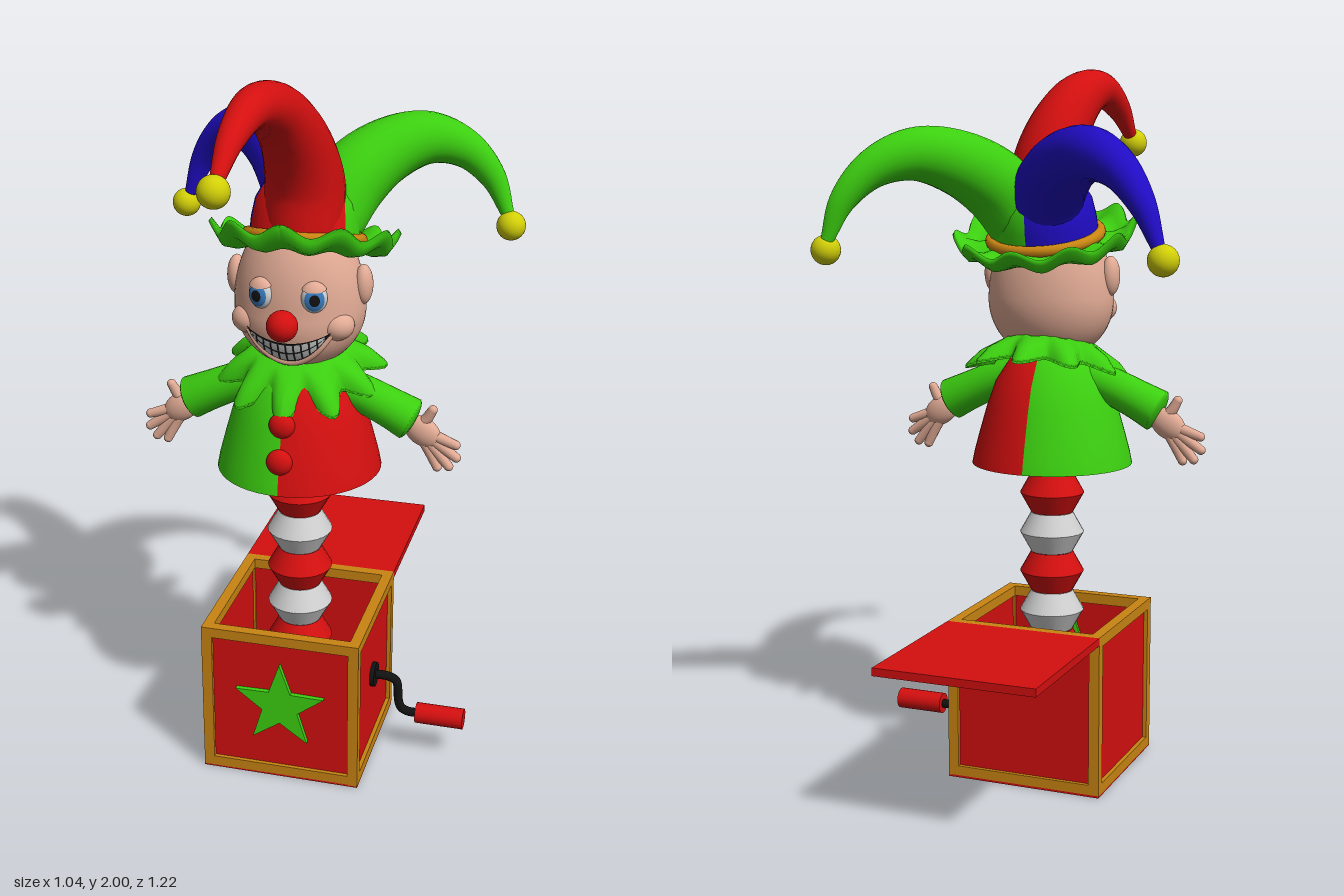
import * as THREE from 'three';

const mat = (name, color) => Object.assign(new THREE.MeshStandardMaterial({ color }), { name });
const red = mat('red', 0xd40f0f), green = mat('green', 0x3ccf10), blue = mat('blue', 0x200cc4);
const yellow = mat('bell yellow', 0xd2cf08), orange = mat('frame orange', 0xc98512);
const skin = mat('skin', 0xe2ab95), white = mat('white', 0xcfcfcf), black = mat('black', 0x121212);
const eyeBlue = mat('eye blue', 0x3a7cc0);
for (const m of [red, green, white, black]) m.side = THREE.DoubleSide;

const CX = -0.03, CZ = 0.083; // axis of box, spring and body
const V = (x, y, z) => new THREE.Vector3(x, y, z);

function add(parent, name, geo, material, x = 0, y = 0, z = 0) {
  const m = new THREE.Mesh(geo, material);
  m.name = name;
  m.position.set(x, y, z);
  parent.add(m);
  return m;
}
const box = (p, name, m, w, h, d, x, y, z) => add(p, name, new THREE.BoxGeometry(w, h, d), m, x, y, z);
function ball(p, name, m, x, y, z, rx, ry = rx, rz = rx) {
  const b = add(p, name, new THREE.SphereGeometry(1, 28, 20), m, x, y, z);
  b.scale.set(rx, ry, rz);
  return b;
}
const lathe = (pts, seg, start = 0, len = Math.PI * 2) =>
  new THREE.LatheGeometry(pts.map(([r, y]) => new THREE.Vector2(r, y)), seg, start, len);

// Moves every vertex of a geometry by a rule
function warp(geo, rule) {
  const p = geo.attributes.position, v = V(0, 0, 0);
  for (let i = 0; i < p.count; i++) {
    rule(v.fromBufferAttribute(p, i));
    p.setXYZ(i, v.x, v.y, v.z);
  }
  geo.computeVertexNormals();
  return geo;
}

// Tube through [x, y, z, radius] stations
function taperTube(stations, seg = 40, sides = 24) {
  const curve = new THREE.CatmullRomCurve3(stations.map(s => V(s[0], s[1], s[2])));
  const radii = new THREE.CatmullRomCurve3(stations.map((s, i) => V(s[3], i, 0)));
  const geo = new THREE.TubeGeometry(curve, seg, 1, sides);
  const p = geo.attributes.position, v = V(0, 0, 0);
  for (let i = 0; i < p.count; i++) {
    const u = Math.floor(i / (sides + 1)) / seg, c = curve.getPointAt(u);
    v.fromBufferAttribute(p, i).sub(c).multiplyScalar(radii.getPoint(curve.getUtoTmapping(u)).x).add(c);
    p.setXYZ(i, v.x, v.y, v.z);
  }
  return geo;
}

function buildBox(root) {
  const g = new THREE.Group(); g.name = 'box'; root.add(g);
  g.position.set(CX, 0, CZ);
  const S = 0.455, F = 0.03, e = (S - F) / 2;
  box(g, 'floor', red, S, 0.006, S, 0, 0.003, 0);
  for (const s of [-1, 1]) {
    box(g, 'sidePanel', red, 0.012, 0.44, 0.43, s * 0.21, 0.226, 0);
    box(g, 'facePanel', red, 0.43, 0.44, 0.012, 0, 0.226, s * 0.21);
    for (const t of [-1, 1]) {
      box(g, 'framePost', orange, F, 0.456, F, s * e, 0.232, t * e);
      box(g, 'frameRailX', orange, S - 2 * F, F, F, 0, t > 0 ? 0.445 : 0.019, s * e);
      box(g, 'frameRailZ', orange, F, F, S - 2 * F, s * e, t > 0 ? 0.445 : 0.019, 0);
    }
  }
  box(g, 'lid', red, S, 0.022, 0.465, 0, 0.449, -0.46);
  // star on the front panel
  const star = new THREE.Shape();
  for (let i = 0; i < 10; i++) {
    const r = i % 2 ? 0.054 : 0.135, a = Math.PI / 2 + i * Math.PI / 5;
    star[i ? 'lineTo' : 'moveTo'](r * Math.cos(a), r * Math.sin(a));
  }
  add(g, 'star', new THREE.ExtrudeGeometry(star, { depth: 0.035, bevelEnabled: false }), green, 0, 0.235, 0.195);
  // crank
  add(g, 'crankPlate', new THREE.CylinderGeometry(0.036, 0.036, 0.015, 24), black, 0.221, 0.24, 0).rotation.z = Math.PI / 2;
  add(g, 'crankRod', taperTube([[0.21, 0.24], [0.265, 0.24], [0.288, 0.228], [0.294, 0.2], [0.296, 0.165],
    [0.305, 0.14], [0.325, 0.13], [0.37, 0.13]].map(([x, y]) => [x, y, 0, 0.013]), 40, 12), black);
  add(g, 'crankHandle', new THREE.CylinderGeometry(0.03, 0.03, 0.14, 24), red, 0.42, 0.13, 0).rotation.z = Math.PI / 2;
}

function buildSpring(root) {
  add(root, 'springBase', new THREE.CylinderGeometry(0.06, 0.06, 0.06, 24), white, CX, 0.033, CZ);
  for (let k = 0; k < 8; k++) {
    const y = 0.06 + k * 0.115, m = k % 2 ? white : red;
    add(root, 'springLower', new THREE.CylinderGeometry(0.092, 0.06, 0.0575, 24, 1, true), m, CX, y + 0.029, CZ);
    add(root, 'springUpper', new THREE.CylinderGeometry(0.06, 0.092, 0.0575, 24, 1, true), m, CX, y + 0.086, CZ);
  }
}

function buildBody(root) {
  const profile = [[0.228, 0.895], [0.221, 0.93], [0.205, 0.99], [0.185, 1.06], [0.16, 1.13], [0.115, 1.2], [0.06, 1.235]];
  add(root, 'coatLeft', lathe(profile, 24, 0, Math.PI), red, CX, 0, CZ);
  add(root, 'coatRight', lathe(profile, 24, Math.PI, Math.PI), green, CX, 0, CZ);
  ball(root, 'button', red, CX, 0.985, 0.288, 0.036, 0.036, 0.025);
  ball(root, 'button', red, CX, 1.08, 0.26, 0.036, 0.036, 0.025);
  // pointed ruff
  const ruff = lathe([[0.08, 0], [0.13, -0.005], [0.175, -0.035], [0.2, -0.07], [0.2, -0.058],
    [0.175, -0.02], [0.13, 0.012], [0.08, 0.02]], 100);
  add(root, 'ruff', warp(ruff, v => {
    const a = Math.atan2(v.x, v.z), k = Math.max(0, (Math.hypot(v.x, v.z) - 0.09) / 0.11);
    const c = Math.cos(10 * a), s = 1 + 0.17 * k * c;
    v.x *= s; v.z *= s; v.y -= 0.012 * k * c;
  }), green, CX, 1.228, 0.068).rotation.x = 0.25;
  // arms, mirrored
  for (const s of [-1, 1]) {
    const arm = new THREE.Group(); arm.name = s > 0 ? 'leftArm' : 'rightArm'; root.add(arm);
    const at = (x, y, z, r) => [CX + s * x, y, CZ + z, r];
    add(arm, 'sleeve', taperTube([at(0.09, 1.15, 0, 0.05), at(0.17, 1.125, 0, 0.052), at(0.25, 1.09, 0, 0.055),
      at(0.312, 1.06, 0, 0.06)], 20), green);
    ball(arm, 'cuff', green, CX + s * 0.31, 1.061, CZ, 0.016, 0.059, 0.059).rotation.z = -s * 0.46;
    ball(arm, 'palm', skin, CX + s * 0.345, 1.025, CZ - 0.005, 0.056, 0.04, 0.026).rotation.z = -s * 0.6;
    const tips = [[0.372, 1.092], [0.438, 0.995], [0.44, 0.958], [0.42, 0.93], [0.388, 0.925]];
    tips.forEach(([x, y], i) => {
      add(arm, i ? 'finger' : 'thumb', taperTube([at(0.325, 1.035, -0.005, 0.016),
        at((0.335 + x) / 2, (1.03 + y) / 2, -0.005, 0.016), at(x, y, -0.003, 0.013)], 10, 12), skin);
      ball(arm, 'fingertip', skin, CX + s * x, y, CZ - 0.003, 0.013);
    });
  }
}

// Front surface of the head at x, y
const HY = 1.37;
function faceZ(x, y) {
  const v = (y - HY) / (y > HY ? 0.26 : 0.18), u = (x - CX) / (0.18 * (1 - 0.04 * v));
  const w = Math.sqrt(Math.max(0, 1 - u * u - v * v));
  return 0.07 + w * (0.145 + 0.03 * Math.max(0, -v));
}

function buildHead(root) {
  const g = new THREE.Group(); g.name = 'head'; root.add(g);
  add(g, 'skull', warp(new THREE.SphereGeometry(1, 48, 36), p => p.set(
    CX + p.x * 0.18 * (1 - 0.04 * p.y),
    HY + p.y * (p.y > 0 ? 0.26 : 0.18),
    0.07 + p.z * (0.145 + (p.z > 0 ? 0.03 * Math.max(0, -p.y) : 0)))), skin);
  ball(g, 'nose', red, CX, 1.357, 0.25, 0.042);
  for (const s of [-1, 1]) {
    ball(g, 'ear', skin, CX + s * 0.175, 1.43, 0.075, 0.026, 0.055, 0.032);
    ball(g, 'cheek', skin, CX + s * 0.118, 1.335, 0.145, 0.05, 0.042, 0.045);
    // layered eye caps: white, iris, pupil, lid
    const eye = new THREE.Group(); eye.name = 'eye'; g.add(eye);
    const ex = CX + s * 0.072, ey = 1.422;
    eye.position.set(ex, ey, faceZ(ex, ey) - 0.004);
    eye.rotation.y = s * 0.3;
    eye.scale.set(0.035, 0.04, 0.024);
    const cap = (name, m, r, span, tilt) =>
      add(eye, name, new THREE.SphereGeometry(r, 28, 14, 0, Math.PI * 2, 0, span), m).rotation.x = tilt;
    cap('eyeWhite', white, 1, Math.PI, 0);
    cap('iris', eyeBlue, 1.04, 0.82, Math.PI / 2);
    cap('pupil', black, 1.08, 0.38, Math.PI / 2);
    cap('eyelid', skin, 1.14, 0.95, 0.15);
  }
  // grin: dark backing, rows of teeth, lower lip
  const top = t => 1.298 + 0.028 * t * t, low = t => 1.238 + 0.088 * t * t;
  const patch = (t0, t1, s0, s1, lift, nx, ny) => warp(new THREE.PlaneGeometry(1, 1, nx, ny), p => {
    const t = t0 + (p.x + 0.5) * (t1 - t0), s = s0 + (p.y + 0.5) * (s1 - s0);
    const x = CX + 0.115 * t, y = low(t) + s * (top(t) - low(t));
    p.set(x, y, faceZ(x, y) + lift);
  });
  add(g, 'mouth', patch(-1, 1, 0, 1, 0.006, 32, 8), black);
  const N = 10, step = 1.8 / N;
  for (let i = 0; i < N; i++) for (const [s0, s1] of [[0.06, 0.48], [0.52, 0.95]]) {
    const t = -0.9 + i * step;
    add(g, 'tooth', patch(t + 0.012, t + step - 0.012, s0, s1, 0.01, 4, 4), white);
  }
  const lip = [];
  for (let t = -1; t <= 1.01; t += 0.25) {
    const x = CX + 0.118 * t, y = low(t) - 0.006;
    lip.push([x, y, faceZ(x, y), 0.011 - 0.005 * t * t]);
  }
  add(g, 'lowerLip', taperTube(lip, 30, 10), skin);
}

function buildHat(root) {
  const g = new THREE.Group(); g.name = 'hat'; root.add(g);
  const base = new THREE.Group(); base.name = 'hatBase'; g.add(base);
  base.position.set(-0.025, 1.525, 0.045);
  base.rotation.x = -0.26;
  // wavy upturned brim
  const brim = lathe([[0.12, -0.012], [0.19, -0.02], [0.23, -0.008], [0.25, 0.022], [0.243, 0.034],
    [0.222, 0.012], [0.19, 0.004], [0.12, 0.012]], 100);
  add(base, 'brim', warp(brim, v => {
    const a = Math.atan2(v.x, v.z), k = Math.max(0, (Math.hypot(v.x, v.z) - 0.15) / 0.1), c = Math.cos(10 * a);
    v.y += 0.017 * k * c;
    v.x *= 1 + 0.03 * k * c; v.z *= 1 + 0.03 * k * c;
  }), green);
  add(base, 'hatBand', new THREE.TorusGeometry(0.152, 0.016, 12, 48), orange, 0, 0.016, 0).rotation.x = Math.PI / 2;
  const crown = [[0.148, 0], [0.146, 0.06], [0.138, 0.11], [0.115, 0.155], [0.07, 0.185], [0, 0.195]];
  [red, green, blue].forEach((m, i) =>
    add(base, 'crownPanel', lathe(crown, 16, (i * 2 - 1) * Math.PI / 3, Math.PI * 2 / 3), m));
  // three curling horns with bells
  const side = s => [[0.035, 1.585, 0.0, 0.095], [0.075, 1.67, -0.055, 0.1], [0.155, 1.738, -0.14, 0.088],
    [0.25, 1.762, -0.215, 0.072], [0.345, 1.725, -0.272, 0.053], [0.42, 1.64, -0.308, 0.036],
    [0.465, 1.535, -0.315, 0.018]].map(([x, y, z, r]) => [s * x, y, z, r]);
  const front = [[-0.015, 1.58, 0.085, 0.105], [-0.012, 1.7, 0.085, 0.105], [-0.025, 1.82, 0.135, 0.09],
    [-0.05, 1.915, 0.23, 0.072], [-0.072, 1.945, 0.35, 0.052], [-0.09, 1.895, 0.465, 0.035], [-0.1, 1.815, 0.55, 0.018]];
  add(g, 'frontHorn', taperTube(front), red);
  add(g, 'leftHorn', taperTube(side(1)), green);
  add(g, 'rightHorn', taperTube(side(-1)), blue);
  ball(g, 'bell', yellow, -0.102, 1.795, 0.568, 0.041);
  ball(g, 'bell', yellow, 0.477, 1.507, -0.302, 0.041);
  ball(g, 'bell', yellow, -0.48, 1.502, -0.318, 0.041);
}

export function createModel() {
  const root = new THREE.Group();
  root.name = 'jackInTheBox';
  [buildBox, buildSpring, buildBody, buildHead, buildHat].forEach(build => build(root));
  return root;
}
